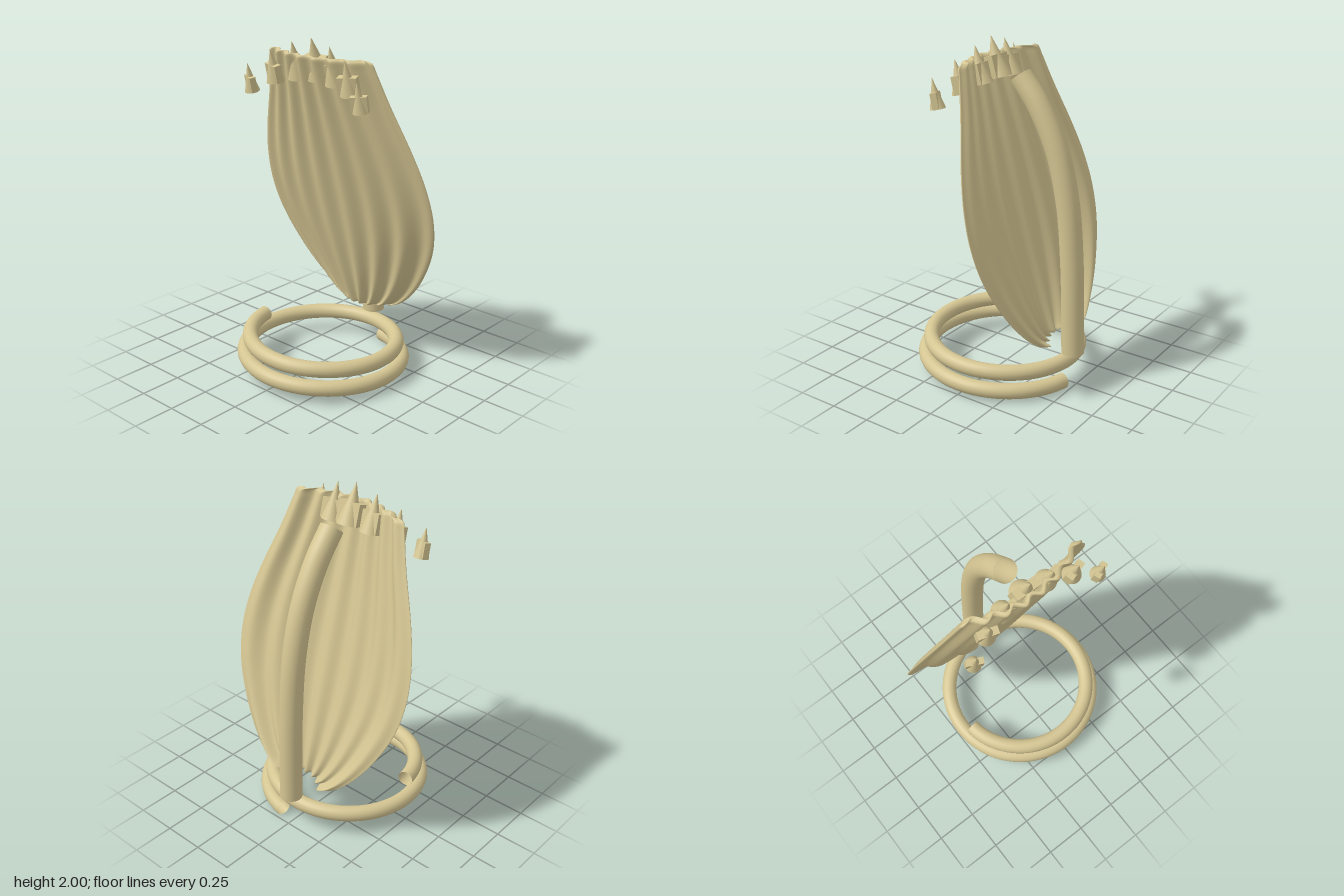
import * as THREE from 'three';

const tan = new THREE.MeshStandardMaterial({ color: 0xd4c592, side: THREE.DoubleSide });
tan.name = 'tan';

function add(parent, geometry, name) {
  const mesh = new THREE.Mesh(geometry, tan);
  mesh.name = name;
  parent.add(mesh);
  return mesh;
}

// Smooth curve through [height, half width] pairs, sampled by height
function sampleWidth(profile, y) {
  let i = 0;
  while (i < profile.length - 2 && y > profile[i + 1][0]) i++;
  const [y0, w0] = profile[i], [y1, w1] = profile[i + 1];
  const slope = (k) => {
    const a = profile[Math.max(k - 1, 0)], b = profile[Math.min(k + 1, profile.length - 1)];
    return (b[1] - a[1]) / (b[0] - a[0]);
  };
  const d = y1 - y0, t = (y - y0) / d, t2 = t * t, t3 = t2 * t;
  return (2 * t3 - 3 * t2 + 1) * w0 + (t3 - 2 * t2 + t) * d * slope(i)
    + (3 * t2 - 2 * t3) * w1 + (t3 - t2) * d * slope(i + 1);
}

// Fluted, leaning hood built from closed lens-like cross-sections
function hoodGeometry() {
  const profile = [[0.29, 0.18], [0.33, 0.265], [0.44, 0.385], [0.6, 0.5], [0.8, 0.595], [1.0, 0.63],
    [1.2, 0.612], [1.4, 0.555], [1.66, 0.455], [1.85, 0.393], [1.89, 0.378], [1.9, 0.35]];
  const rows = 64, half = 96, ring = half * 2;
  const positions = [], index = [];
  for (let i = 0; i <= rows; i++) {
    const v = (1 - Math.cos((i / rows) * Math.PI)) / 2;
    const y = 0.29 + 1.61 * v;
    const w = sampleWidth(profile, y);
    const edge = Math.min(1, Math.min(y - 0.29, 1.9 - y) / 0.018);
    const rim = Math.sqrt(Math.max(0, 1 - (1 - edge) ** 2));
    for (let j = 0; j < ring; j++) {
      const front = j <= half;
      const s = front ? j / half : (ring - j) / half;
      const u = -Math.cos(s * Math.PI);
      const thick = 0.017 * rim * Math.sqrt(Math.max(0, 1 - u ** 10));
      const flute = -0.016 * Math.cos(7 * Math.PI * u);
      const z = -0.318 + 0.453 * v - 0.105 * u * u + flute + (front ? thick : -thick);
      positions.push(u * w, y, z);
    }
  }
  for (let i = 0; i < rows; i++) {
    for (let j = 0; j < ring; j++) {
      const a = i * ring + j, b = i * ring + (j + 1) % ring;
      index.push(a, b, b + ring, a, b + ring, a + ring);
    }
  }
  const g = new THREE.BufferGeometry();
  g.setAttribute('position', new THREE.Float32BufferAttribute(positions, 3));
  g.setIndex(index);
  g.computeVertexNormals();
  return g;
}

// Cone tip with a short block around its root
function spike(x, y, z, radius, height, tilt) {
  const g = new THREE.Group();
  g.name = 'spike';
  const cone = new THREE.ConeGeometry(radius, height, 24);
  cone.translate(0, height / 2, 0);
  add(g, cone, 'spikeTip');
  const block = new THREE.BoxGeometry(radius * 2.1, height * 0.53, radius * 0.8);
  block.translate(0, height * 0.27, 0);
  add(g, block, 'spikeRoot');
  g.position.set(x, y, z);
  g.rotation.set(tilt, x * 1.05, 0);
  return g;
}

export function createModel() {
  const model = new THREE.Group();
  model.name = 'hoodedCoil';

  // Base coil: 1.7 turns, rising and slowly tightening
  const coil = [];
  for (let i = 0; i <= 68; i++) {
    const a = THREE.MathUtils.degToRad(-80 + 9 * i);
    const turns = a / (2 * Math.PI);
    const r = 0.48 - 0.034 * turns;
    coil.push(new THREE.Vector3(r * Math.cos(a), 0.07 + 0.1 * turns, 0.023 + r * Math.sin(a)));
  }
  add(model, new THREE.TubeGeometry(new THREE.CatmullRomCurve3(coil), 180, 0.046, 20), 'baseCoil');

  // Curved post behind the hood
  const post = [[0.2, -0.468], [0.76, -0.447], [1.13, -0.408], [1.42, -0.33], [1.64, -0.215], [1.795, -0.092]]
    .map(([y, z]) => new THREE.Vector3(0, y, z));
  add(model, new THREE.TubeGeometry(new THREE.CatmullRomCurve3(post), 64, 0.067, 28), 'post');

  add(model, hoodGeometry(), 'hood');

  // Crown of spikes, largest in the middle
  model.add(spike(0, 1.77, 0.045, 0.07, 0.237, 0.28));
  for (const side of [-1, 1]) {
    model.add(spike(side * 0.14, 1.755, 0.062, 0.061, 0.217, 0.26));
    model.add(spike(side * 0.278, 1.72, 0.105, 0.054, 0.193, 0.24));
    model.add(spike(side * 0.407, 1.655, 0.168, 0.044, 0.17, 0.22));
  }
  return model;
}
